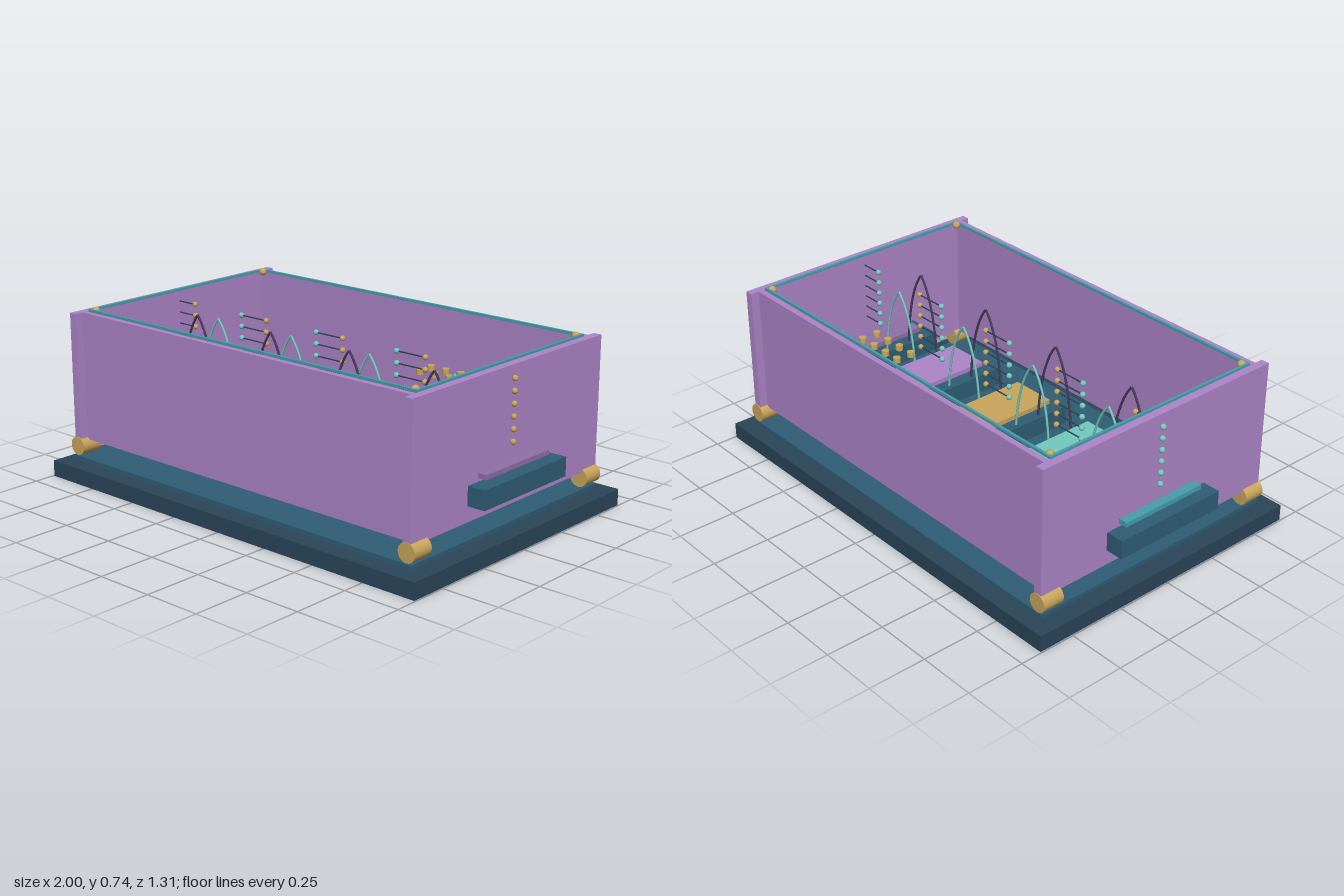
import * as THREE from 'three';

const mat = (color) => new THREE.MeshStandardMaterial({ color });

export function createModel() {
  const model = new THREE.Group();
  const navy = mat(0x2a465a), blue = mat(0x2f5d75), purple = mat(0xad84c8), plum = mat(0x9070a8);
  const gold = mat(0xc9a55c), mint = mat(0x74c9be), teal = mat(0x459fab), dark = mat(0x4a3a5c);

  const add = (name, geometry, material, x, y, z, parent = model) => {
    const mesh = new THREE.Mesh(geometry, material);
    mesh.name = name;
    mesh.position.set(x, y, z);
    parent.add(mesh);
    return mesh;
  };
  const box = (name, w, h, d, material, x, y, z, parent) =>
    add(name, new THREE.BoxGeometry(w, h, d), material, x, y, z, parent);

  // Base and raised floor plate
  box('base', 1.99, 0.07, 1.31, navy, 0, 0.035, 0);
  box('floorPlate', 1.85, 0.016, 1.18, blue, 0, 0.087, 0);

  // Walls, top rails, corner rollers and corner beads
  const footGeo = new THREE.CylinderGeometry(0.04, 0.04, 0.097, 24).rotateX(Math.PI / 2);
  const cornerBead = new THREE.SphereGeometry(0.017, 16, 12);
  for (const s of [-1, 1]) {
    box('sideWall', 0.036, 0.555, 1.18, purple, s * 0.903, 0.4425, 0);
    box('longWall', 1.77, 0.555, 0.025, purple, 0, 0.4425, s * 0.54);
    box('sideRail', 0.011, 0.011, 1.04, teal, s * 0.879, 0.724, 0);
    box('longRail', 1.769, 0.011, 0.011, teal, 0, 0.724, s * 0.516);
    for (const t of [-1, 1]) {
      add('cornerRoller', footGeo, gold, s * 0.905, 0.14, t * 0.545);
      add('cornerBead', cornerBead, gold, s * 0.86, 0.722, t * 0.5);
    }
  }

  // Five stations: pedestal, floating panel and a stack of beaded rods
  const beadGeo = new THREE.SphereGeometry(0.012, 12, 8);
  const rodGeo = new THREE.CylinderGeometry(0.003, 0.003, 0.145, 8).rotateZ(Math.PI / 2);
  [teal, mint, gold, purple, plum].forEach((panelMat, i) => {
    const station = new THREE.Group();
    station.name = 'station';
    station.position.x = (i - 2) * 0.43;
    model.add(station);
    box('pedestal', 0.28, 0.08, 0.52, blue, 0, 0.27, 0, station);
    box('panel', 0.2, 0.02, 0.4, panelMat, 0, 0.335, 0, station);
    for (let k = 0; k < 6; k++) {
      const y = 0.42 + k * 0.05;
      add('rod', rodGeo, navy, 0, y, 0, station);
      add('leftBead', beadGeo, gold, 0.0725, y, 0, station);
      add('rightBead', beadGeo, mint, -0.0725, y, 0, station);
    }
  });

  // Pointed arches bridging neighbouring stations
  const archSide = (s, half, foot, peak) => new THREE.TubeGeometry(
    new THREE.QuadraticBezierCurve3(
      new THREE.Vector3(s * half, foot, 0),
      new THREE.Vector3(s * half * 0.85, foot + (peak - foot) * 0.72, 0),
      new THREE.Vector3(0, peak, 0)), 16, 0.005, 8);
  for (let i = 0; i < 4; i++) {
    const x = (i - 1.5) * 0.43;
    for (const s of [-1, 1]) {
      add('rearArch', archSide(s, 0.1, 0.29, 0.63), mint, x, 0, 0);
      add('frontArch', archSide(s, 0.1, 0.29, 0.67), dark, x, 0, 0.122);
    }
  }

  // Two rows of small studs behind the fourth station
  const studGeo = new THREE.CylinderGeometry(0.016, 0.016, 0.022, 16);
  for (let c = 0; c < 4; c++)
    for (let r = 0; r < 2; r++)
      add('stud', studGeo, gold, 0.313 + c * 0.077, 0.535, -0.275 + r * 0.073);

  return model;
}
